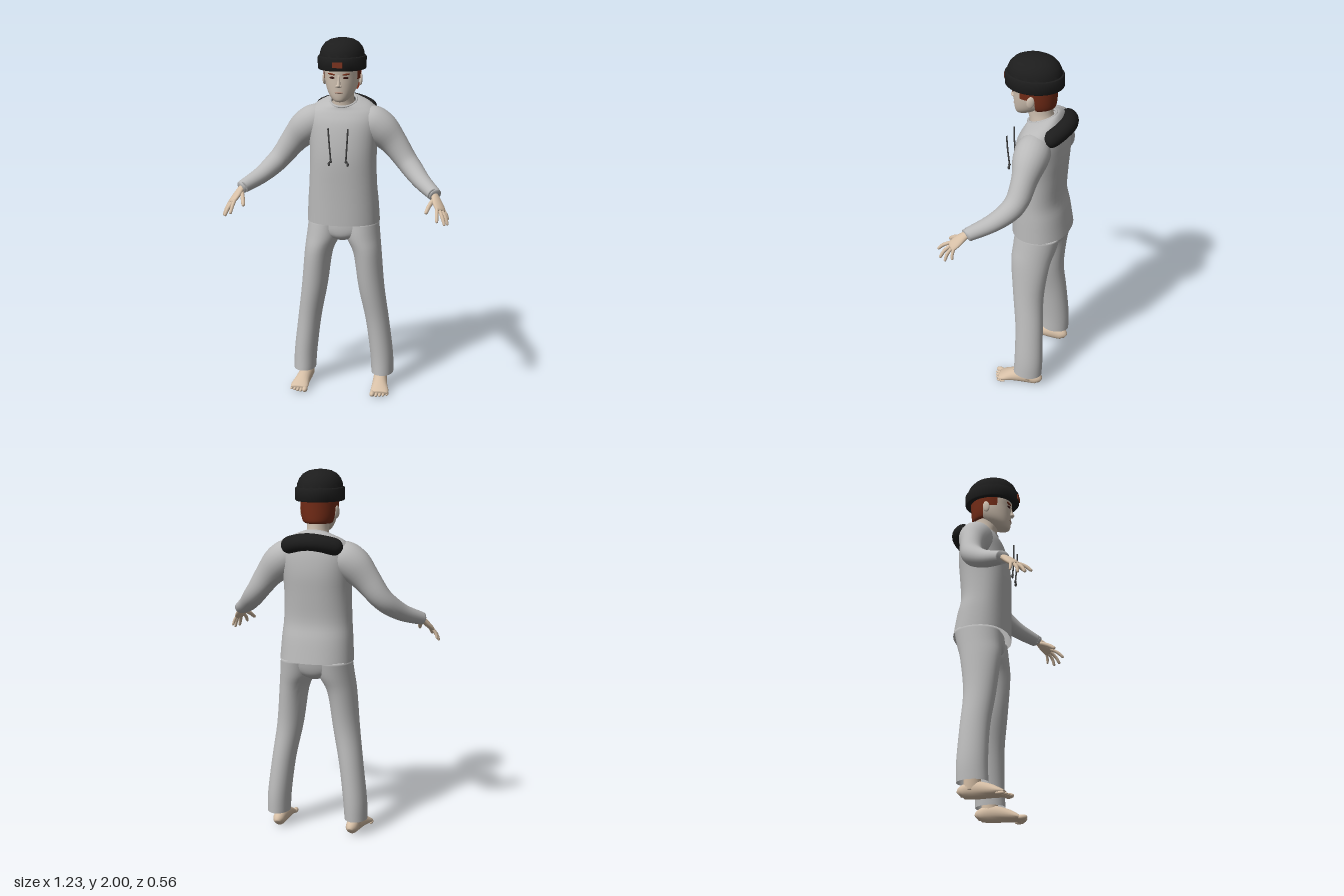
import * as THREE from 'three';
import { toCreasedNormals } from 'three/addons/utils/BufferGeometryUtils.js';

const mat = (name, color, side = THREE.FrontSide) => {
  const m = new THREE.MeshStandardMaterial({ color, side });
  m.name = name;
  return m;
};

// Catmull-Rom resampling of numeric rows
function resample(rows, sub) {
  const out = [], last = rows.length - 1;
  for (let i = 0; i < last; i++) {
    const p = [rows[Math.max(i - 1, 0)], rows[i], rows[i + 1], rows[Math.min(i + 2, last)]];
    for (let k = 0; k < sub; k++) {
      const t = k / sub;
      out.push(p[1].map((b, c) => {
        const a = p[0][c], d = p[2][c], e = p[3][c];
        return b + 0.5 * t * (d - a + t * (2 * a - 5 * b + 4 * d - e + t * (3 * (b - d) + e - a)));
      }));
    }
  }
  out.push(rows[last]);
  return out;
}

// Skin over elliptical rows [x, y, z, ra, rb, tilt]. Without ref the rings lie flat
// (ra on x, rb on z, rows rising); with ref they stand across the path.
function loft(rows, { ref, n = 28, sub = 4, power = 1, arc = null, cap0 = true, cap1 = true } = {}) {
  const R = resample(rows, sub), pts = [], idx = [], m = arc ? n + 1 : n;
  const C = R.map(r => new THREE.Vector3(r[0], r[1], r[2]));
  const [a0, a1] = arc || [0, Math.PI * 2];
  const curve = v => Math.sign(v) * Math.abs(v) ** power;
  R.forEach((r, i) => {
    let u = new THREE.Vector3(1, 0, 0), v = new THREE.Vector3(0, r[5] || 0, 1);
    if (ref) {
      const t = C[Math.min(i + 1, C.length - 1)].clone().sub(C[Math.max(i - 1, 0)]).normalize();
      u = ref.clone().cross(t).normalize();
      v = u.clone().cross(t);
    }
    for (let j = 0; j < m; j++) {
      const a = a0 + (a1 - a0) * j / n;
      const p = C[i].clone().addScaledVector(u, curve(Math.cos(a)) * r[3]).addScaledVector(v, curve(Math.sin(a)) * r[4]);
      pts.push(p.x, p.y, p.z);
    }
  });
  const id = (i, j) => i * m + j % m, L = R.length - 1;
  for (let i = 0; i < L; i++) for (let j = 0; j < n; j++) {
    idx.push(id(i, j), id(i + 1, j), id(i, j + 1), id(i + 1, j), id(i + 1, j + 1), id(i, j + 1));
  }
  const cap = (i, flip) => {
    const c = pts.length / 3;
    pts.push(C[i].x, C[i].y, C[i].z);
    for (let j = 0; j < n; j++) idx.push(c, id(i, j + (flip ? 1 : 0)), id(i, j + (flip ? 0 : 1)));
  };
  if (!arc && cap0) cap(0, false);
  if (!arc && cap1) cap(L, true);
  const g = new THREE.BufferGeometry();
  g.setAttribute('position', new THREE.Float32BufferAttribute(pts, 3));
  g.setIndex(idx);
  g.computeVertexNormals();
  return g;
}

export function createModel() {
  const root = new THREE.Group();
  root.name = 'standingFigure';
  const shirt = mat('shirt grey', 0xb9b9b9, THREE.DoubleSide);
  const trousers = mat('trouser grey', 0xbdbdbd, THREE.DoubleSide);
  const skin = mat('skin', 0xd6bfa6);
  const faceSkin = mat('face skin', 0xd0c1b1);
  const hairMat = mat('red hair', 0x742c17, THREE.DoubleSide);
  const black = mat('black knit', 0x1d1d1d);
  const patchMat = mat('rust patch', 0x7d3420);
  const cord = mat('cord grey', 0x444444);
  const dark = mat('eye brown', 0x3a1512);
  const lipMat = mat('lip', 0xa98878);

  const add = (name, geo, material, parent = root) => {
    const mesh = new THREE.Mesh(geo, material);
    mesh.name = name;
    parent.add(mesh);
    return mesh;
  };
  const blob = (name, p, s, material) => {
    const mesh = add(name, new THREE.SphereGeometry(1, 16, 12), material);
    mesh.position.set(...p);
    mesh.scale.set(...s);
    return mesh;
  };
  const Y = new THREE.Vector3(0, 1, 0);

  // Shirt body and collar
  add('shirtBody', loft([
    [0, 0.98, -0.1, 0.203, 0.157, 0], [0, 1.1, -0.09, 0.196, 0.147, 0], [0, 1.2, -0.079, 0.188, 0.137, 0],
    [0, 1.34, -0.082, 0.184, 0.142, 0], [0, 1.45, -0.092, 0.19, 0.14, 0], [0, 1.54, -0.1, 0.2, 0.127, 0],
    [0, 1.6, -0.105, 0.19, 0.108, -0.1], [0, 1.636, -0.104, 0.15, 0.093, -0.25], [0, 1.655, -0.098, 0.1, 0.083, -0.35],
    [0, 1.66, -0.092, 0.074, 0.076, -0.38]], { n: 40, power: 0.9, cap0: false, cap1: false }), shirt);
  const collar = add('collar', new THREE.TorusGeometry(0.072, 0.007, 8, 36), shirt);
  collar.position.set(0, 1.657, -0.092);
  collar.rotation.x = Math.PI / 2 + 0.36;
  collar.scale.y = 1.1;

  // Hips
  add('trouserSeat', loft([
    [0, 0.875, -0.095, 0.03, 0.06], [0, 0.9, -0.095, 0.11, 0.105], [0, 0.94, -0.1, 0.18, 0.122],
    [0, 1.0, -0.108, 0.193, 0.128]], { n: 36 }), trousers);

  for (const s of [1, -1]) {
    const side = s > 0 ? 'left' : 'right';
    const flip = rows => rows.map(r => [r[0] * s, ...r.slice(1)]);

    // Trouser leg
    add(side + 'TrouserLeg', loft(flip([
      [0.227, 0.085, -0.098, 0.063, 0.083], [0.221, 0.2, -0.102, 0.065, 0.082], [0.196, 0.4, -0.095, 0.066, 0.08],
      [0.163, 0.6, -0.078, 0.073, 0.088], [0.139, 0.8, -0.08, 0.079, 0.11], [0.11, 0.9, -0.094, 0.097, 0.122],
      [0.1, 0.985, -0.107, 0.098, 0.127]]), { cap0: false }), trousers);

    // Foot, ankle and toes
    add(side + 'Ankle', loft(flip([[0.217, 0.04, -0.1, 0.036, 0.05], [0.22, 0.09, -0.1, 0.036, 0.045],
      [0.22, 0.2, -0.1, 0.04, 0.045]]), { n: 18 }), skin);
    add(side + 'Foot', loft(flip([
      [0.213, 0.028, -0.17, 0.015, 0.018], [0.214, 0.04, -0.15, 0.032, 0.036], [0.216, 0.047, -0.09, 0.038, 0.047],
      [0.224, 0.037, -0.01, 0.043, 0.037], [0.231, 0.023, 0.045, 0.051, 0.022], [0.233, 0.015, 0.072, 0.046, 0.013]]),
    { ref: Y, n: 20 }), skin);
    for (let i = 0; i < 5; i++) {
      const r = i ? 0.0105 - i * 0.0005 : 0.015;
      blob(side + 'Toe' + (i + 1), [s * (i ? 0.197 + i * 0.0195 : 0.194), r, 0.083 - i * i * 0.0014 - i * 0.002], [r, r, 0.026], skin);
    }

    // Sleeve
    add(side + 'Sleeve', loft(flip([
      [0.1, 1.56, -0.105, 0.07, 0.07], [0.155, 1.54, -0.104, 0.093, 0.092], [0.215, 1.495, -0.102, 0.09, 0.094],
      [0.28, 1.425, -0.1, 0.068, 0.075], [0.343, 1.342, -0.088, 0.062, 0.062], [0.39, 1.29, -0.055, 0.058, 0.056],
      [0.45, 1.238, 0.015, 0.049, 0.046], [0.522, 1.197, 0.108, 0.039, 0.036], [0.527, 1.194, 0.115, 0.036, 0.033]]),
    { ref: Y, n: 24 }), shirt);

    // Hand and fingers
    const palmUp = new THREE.Vector3(0.6 * s, 0.75, 0.35);
    add(side + 'Palm', loft(flip([
      [0.51, 1.208, 0.092, 0.022, 0.018], [0.528, 1.19, 0.125, 0.024, 0.017], [0.548, 1.158, 0.16, 0.034, 0.016],
      [0.565, 1.132, 0.186, 0.034, 0.013], [0.57, 1.125, 0.194, 0.026, 0.008]]), { ref: palmUp, n: 18 }), skin);
    [['Thumb', [0.522, 1.172, 0.145], [0.505, 1.148, 0.192], [0.492, 1.118, 0.234], 0.0115],
      ['IndexFinger', [0.548, 1.14, 0.198], [0.551, 1.115, 0.242], [0.555, 1.082, 0.275], 0.0095],
      ['MiddleFinger', [0.56, 1.132, 0.193], [0.579, 1.1, 0.225], [0.594, 1.06, 0.246], 0.0095],
      ['RingFinger', [0.572, 1.128, 0.182], [0.594, 1.095, 0.202], [0.608, 1.055, 0.212], 0.009],
      ['LittleFinger', [0.578, 1.132, 0.168], [0.596, 1.103, 0.172], [0.606, 1.073, 0.17], 0.008],
    ].forEach(([name, a, b, c, r]) => {
      const nearTip = c.map((v, k) => v * 0.82 + b[k] * 0.18);
      add(side + name, loft(flip([[...a, r, r], [...b, r, r], [...nearTip, r * 0.85, r * 0.85], [...c, r * 0.3, r * 0.3]]),
        { ref: palmUp, n: 10, sub: 3 }), skin);
    });

    // Hood cord with knotted end
    const path = new THREE.CatmullRomCurve3([[0.054, 1.53, 0.09], [0.048, 1.44, 0.087], [0.041, 1.345, 0.08]]
      .map(p => new THREE.Vector3(p[0] * s, p[1], p[2])));
    add(side + 'Cord', new THREE.TubeGeometry(path, 10, 0.0045, 8), cord);
    blob(side + 'CordKnot', [0.042 * s, 1.346, 0.08], [0.008, 0.007, 0.007], cord);
    blob(side + 'CordEnd', [0.051 * s, 1.333, 0.08], [0.007, 0.012, 0.007], cord);

    // Ear, eye and brow
    const ear = blob(side + 'Ear', [0.099 * s, 1.778, -0.062], [0.009, 0.034, 0.021], faceSkin);
    ear.rotation.set(-0.15, 0.3 * s, 0);
    const eye = blob(side + 'Eye', [0.037 * s, 1.797, 0.0585], [0.016, 0.006, 0.004], dark);
    eye.rotation.y = 0.35 * s;
    const brow = blob(side + 'Brow', [0.04 * s, 1.816, 0.0595], [0.022, 0.0045, 0.005], hairMat);
    brow.rotation.set(0, 0.36 * s, 0.12 * s);
    blob(side + 'Nostril', [0.009 * s, 1.753, 0.069], [0.008, 0.007, 0.009], faceSkin);
  }

  // Neck, head and face
  add('neck', loft([[0, 1.6, -0.095, 0.068, 0.07], [0, 1.65, -0.09, 0.062, 0.068], [0, 1.69, -0.08, 0.058, 0.068],
    [0, 1.75, -0.075, 0.06, 0.07]]), faceSkin);
  add('head', loft([
    [0, 1.664, 0.028, 0.014, 0.014], [0, 1.671, 0.02, 0.034, 0.034], [0, 1.692, -0.002, 0.057, 0.062],
    [0, 1.722, -0.026, 0.076, 0.089], [0, 1.76, -0.043, 0.089, 0.108], [0, 1.8, -0.047, 0.095, 0.113],
    [0, 1.85, -0.047, 0.098, 0.117], [0, 1.91, -0.047, 0.09, 0.11]], { n: 36 }), faceSkin);
  add('nose', loft([[0, 1.745, 0.063, 0.006, 0.006], [0, 1.753, 0.068, 0.012, 0.016], [0, 1.765, 0.065, 0.01, 0.016],
    [0, 1.785, 0.062, 0.008, 0.011], [0, 1.81, 0.06, 0.009, 0.008]], { n: 14 }), faceSkin);
  blob('lips', [0, 1.717, 0.06], [0.024, 0.005, 0.006], lipMat);

  // Hair: low at the nape, higher ahead of the ears
  add('napeHair', loft([[0, 1.718, -0.06, 0.075, 0.093], [0, 1.73, -0.057, 0.088, 0.106], [0, 1.77, -0.054, 0.098, 0.114],
    [0, 1.85, -0.05, 0.104, 0.123]], { arc: [Math.PI * 1.08, Math.PI * 1.92] }), hairMat);
  add('sideHair', loft([[0, 1.785, -0.049, 0.0985, 0.116], [0, 1.82, -0.049, 0.101, 0.119], [0, 1.85, -0.049, 0.103, 0.121]],
    { arc: [Math.PI * 0.86, Math.PI * 2.14] }), hairMat);

  // Knitted hat with folded brim and patch
  const profile = [[0.085, 1.838], [0.127, 1.836], [0.131, 1.842], [0.131, 1.899], [0.128, 1.905], [0.121, 1.907],
    [0.119, 1.925], [0.109, 1.951], [0.09, 1.975], [0.062, 1.991], [0.03, 1.998], [0, 2.0]].map(p => new THREE.Vector2(...p));
  const hat = add('hat', toCreasedNormals(new THREE.LatheGeometry(profile, 48), 0.6), black);
  hat.position.z = -0.047;
  hat.scale.z = 1.2;
  add('hatPatch', new THREE.BoxGeometry(0.054, 0.03, 0.009), patchMat).position.set(0, 1.87, 0.108);

  // Curved roll behind the neck
  const r = 0.046;
  const half = [[0.152, 1.597, -0.165, 0.016], [0.146, 1.6, -0.172, 0.034], [0.127, 1.606, -0.186, r], [0.07, 1.624, -0.218, r]];
  const rollRows = [...half, [0, 1.633, -0.233, r], ...half.map(h => [-h[0], ...h.slice(1)]).reverse()];
  add('neckRoll', loft(rollRows.map(h => [...h, h[3]]), { ref: Y, n: 24 }), black);

  return root;
}
